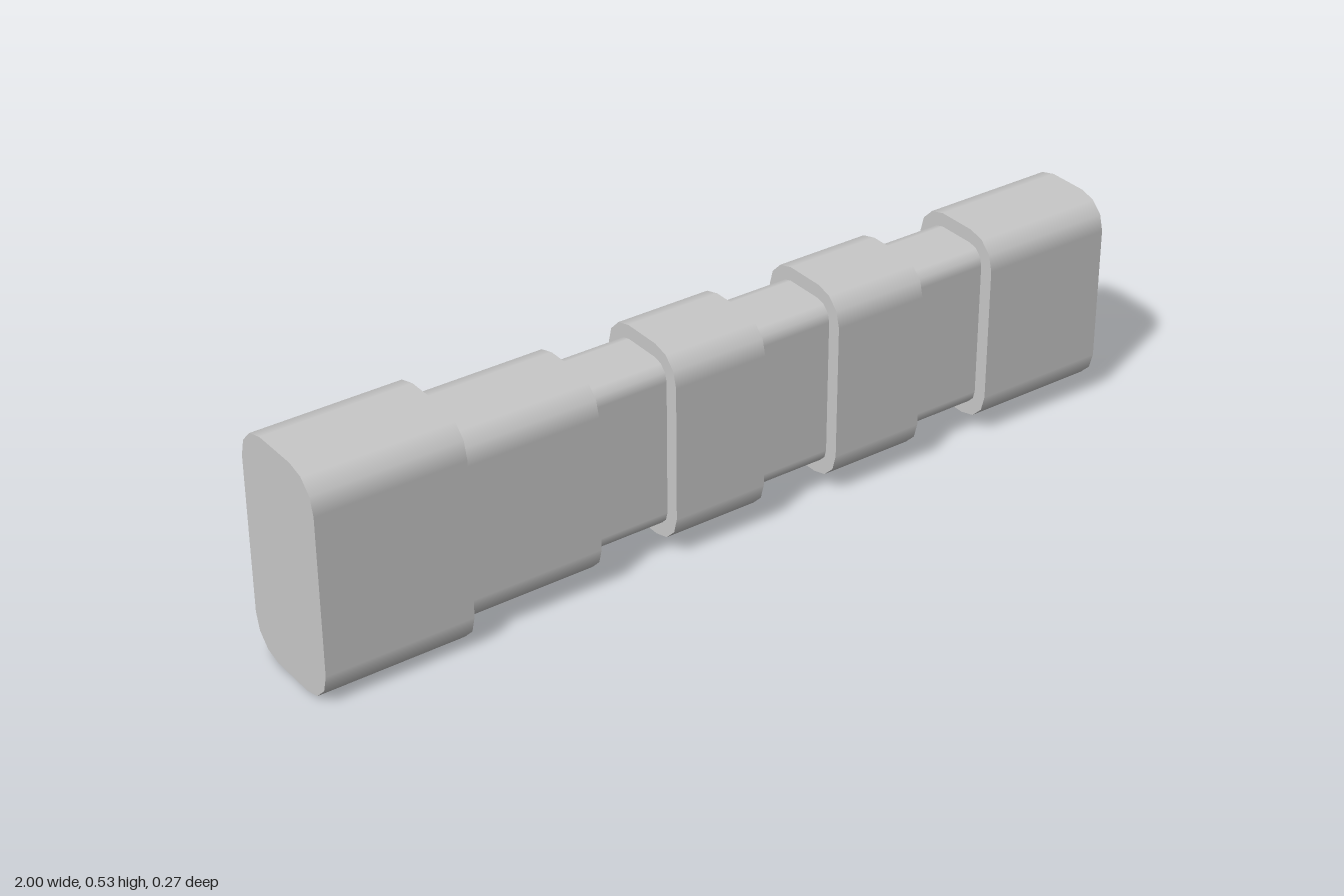
import * as THREE from 'three';

const CENTRE_Y = 0.2635;

// Rounded rectangle outline with three flats per corner; w and h are half sizes
function outline({ w, h, r }) {
  const points = [];
  [[1, 1], [-1, 1], [-1, -1], [1, -1]].forEach(([sx, sy], corner) => {
    for (let i = 0; i <= 3; i++) {
      const a = (corner + i / 3) * Math.PI / 2;
      points.push(new THREE.Vector2(
        sx * (w - r) + r * Math.cos(a),
        sy * (h - r) + r * Math.sin(a)
      ));
    }
  });
  return points;
}

// Round the corner shading only, keeping the broad sides and end faces flat
function smoothCorners(geometry, outer, inner) {
  const { position, normal } = geometry.attributes;
  const p = new THREE.Vector3();
  const n = new THREE.Vector3();
  for (let i = 0; i < position.count; i++) {
    p.fromBufferAttribute(position, i);
    n.fromBufferAttribute(normal, i);
    if (Math.abs(n.z) > 0.5) continue;
    const facing = Math.sign(n.x * p.x + n.y * p.y);
    const { w, h, r } = facing > 0 ? outer : inner;
    n.set(p.x - Math.sign(p.x) * (w - r), p.y - Math.sign(p.y) * (h - r), 0);
    n.normalize().multiplyScalar(facing);
    normal.setXYZ(i, n.x, n.y, n.z);
  }
}

const POMMEL = { w: 0.137, h: 0.2635, r: 0.08 };
const BAND = { w: 0.119, h: 0.229, r: 0.072 };
const CORE = { w: 0.086, h: 0.197, r: 0.04 };
const BORE = { w: 0.08, h: 0.19, r: 0.034 };

export function createModel() {
  const group = new THREE.Group();
  const grey = new THREE.MeshStandardMaterial({ color: 0xc8c8c8 });
  grey.name = 'lightGrey';

  // Extrude a section along x, optionally hollow
  function section(name, x0, x1, outer, inner) {
    const shape = new THREE.Shape(outline(outer));
    if (inner) shape.holes.push(new THREE.Path(outline(inner).reverse()));
    const geometry = new THREE.ExtrudeGeometry(shape, { depth: x1 - x0, bevelEnabled: false });
    smoothCorners(geometry, outer, inner);
    geometry.rotateY(Math.PI / 2).translate(x0, CENTRE_Y, 0);
    const mesh = new THREE.Mesh(geometry, grey);
    mesh.name = name;
    group.add(mesh);
  }

  // Solid end block and the hollow core running to the open end
  section('pommel', -1, -0.66, POMMEL);
  section('coreTube', -0.66, 1, CORE, BORE);

  // Raised sleeves around the core
  [[-0.66, -0.341], [-0.153, 0.072], [0.264, 0.489], [0.68, 1]].forEach(([x0, x1], i) => {
    section('gripBand' + (i + 1), x0, x1, BAND, CORE);
  });

  return group;
}
